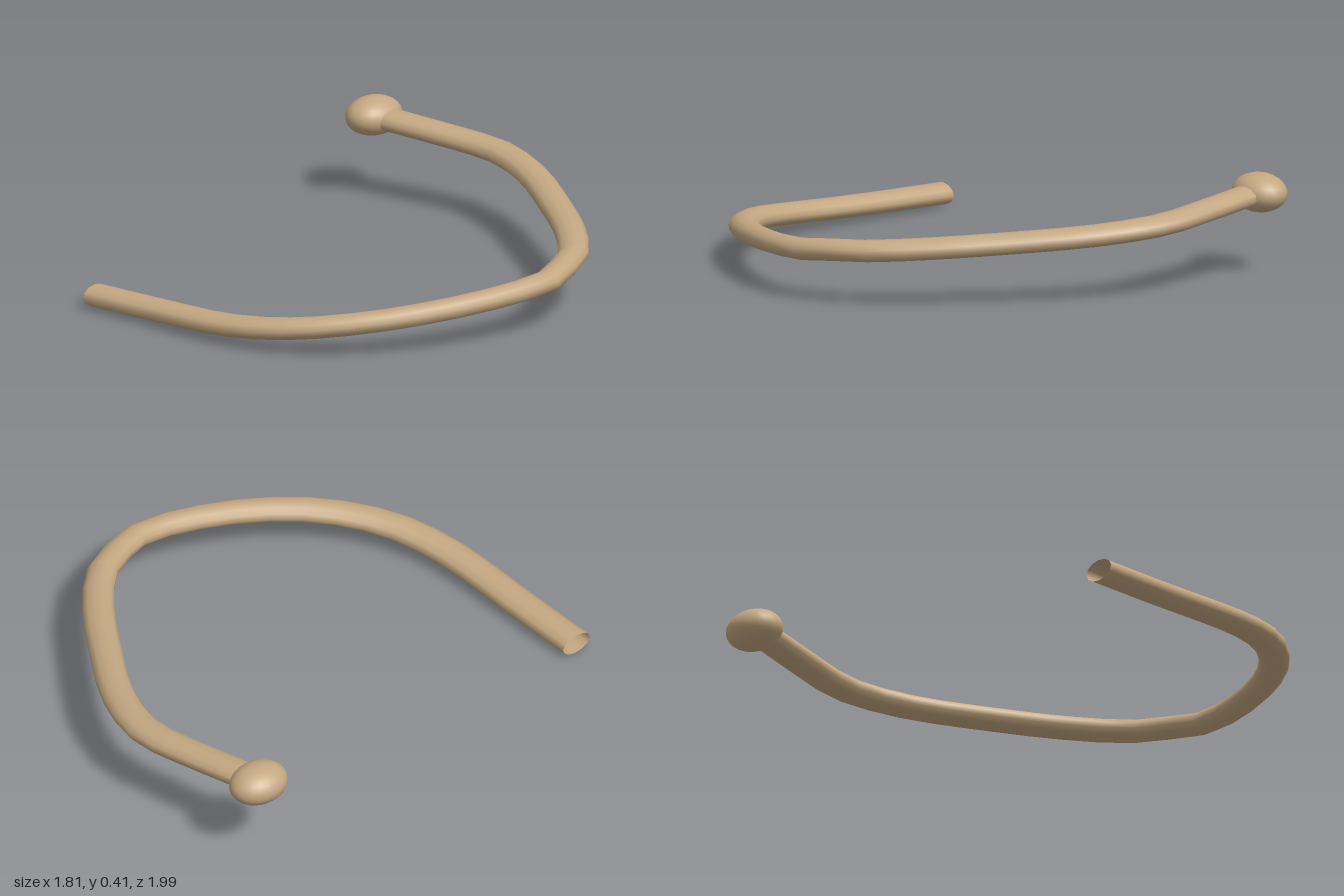
import * as THREE from 'three';

export function createModel() {
  const group = new THREE.Group();
  group.name = 'curvedRod';
  const material = new THREE.MeshStandardMaterial({ color: 0xc4a882, side: THREE.DoubleSide });

  // Round sections are squashed: modelled round, then scaled by this amount
  const squash = new THREE.Vector3(0.8, 0.62, 1);
  group.scale.copy(squash);

  // Centre line from the open front end, round the bend, to the knob
  const path = [
    [-0.64, 0.045, 0.925], [-0.3, 0.054, 0.918], [0, 0.066, 0.913], [0.17, 0.08, 0.89],
    [0.32, 0.097, 0.84], [0.45, 0.115, 0.76], [0.61, 0.14, 0.6], [0.75, 0.165, 0.36],
    [0.84, 0.187, 0.08], [0.85, 0.197, -0.07], [0.805, 0.21, -0.2], [0.74, 0.218, -0.33],
    [0.56, 0.233, -0.505], [0.31, 0.25, -0.68], [0.03, 0.27, -0.85], [-0.2, 0.287, -0.928],
    [-0.33, 0.295, -0.928], [-0.45, 0.304, -0.908], [-0.81, 0.33, -0.84],
  ].map(p => new THREE.Vector3(...p).divide(squash));

  const rod = new THREE.Mesh(
    new THREE.TubeGeometry(new THREE.CatmullRomCurve3(path), 32, 0.069, 12), material);
  rod.name = 'rod';
  group.add(rod);

  // Knob at the raised back end
  const knob = new THREE.Mesh(new THREE.SphereGeometry(0.125, 24, 16), material);
  knob.name = 'knob';
  knob.position.set(-0.81, 0.33, -0.845).divide(squash);
  group.add(knob);

  return group;
}
